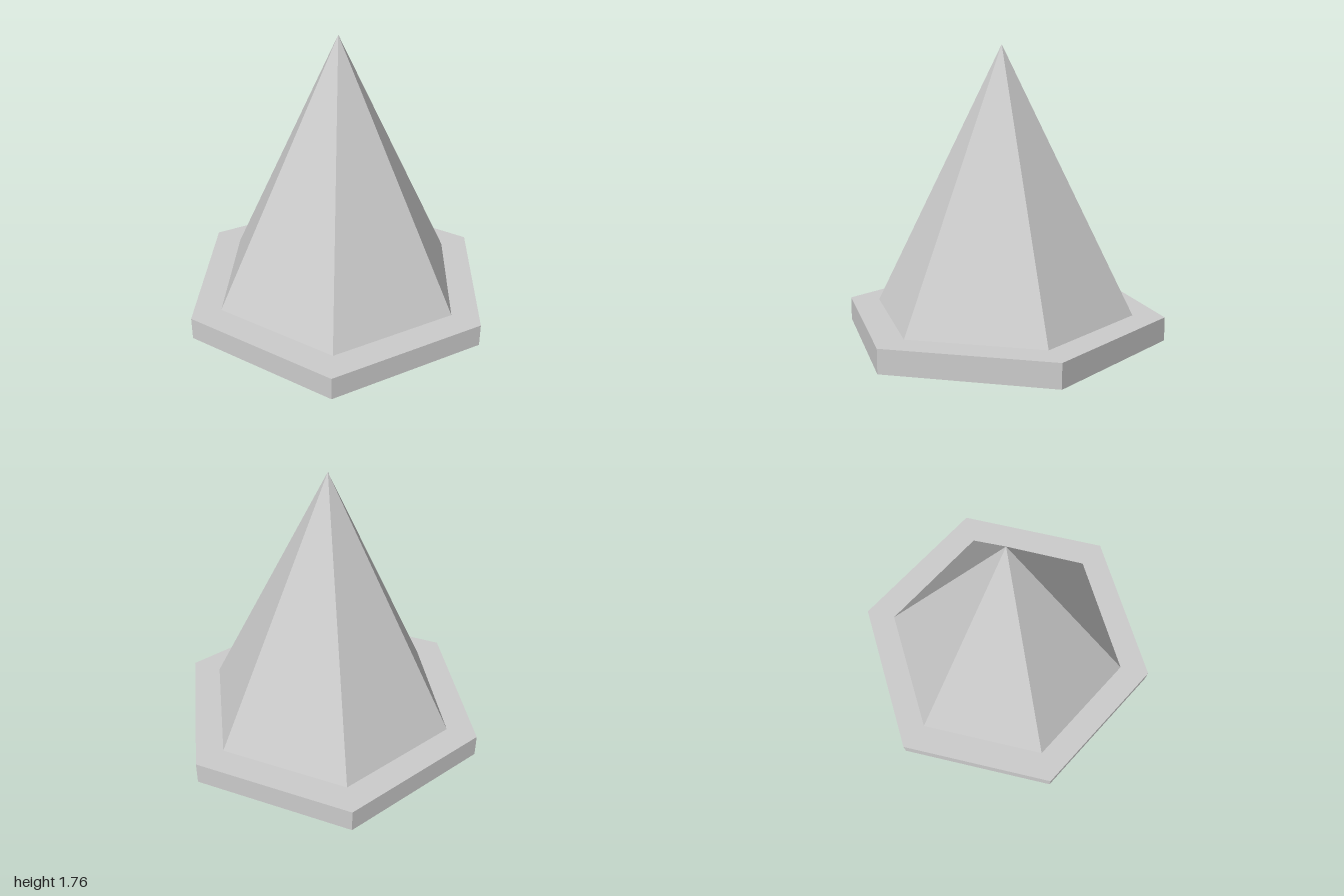
import * as THREE from 'three';

const SIDES = 6;
const BASE_HEIGHT = 0.144;
const SPIRE_HEIGHT = 1.617;

export function createModel() {
  const group = new THREE.Group();
  group.name = 'hexagonalSpire';

  const lightGrey = new THREE.MeshStandardMaterial({ color: 0xcccccc, flatShading: true });
  lightGrey.name = 'light grey';

  // Six-sided solid with corners on the x axis, standing on height y
  const addHexPart = (name, topRadius, bottomRadius, height, y) => {
    const geometry = new THREE.CylinderGeometry(
      topRadius, bottomRadius, height, SIDES, 1, false, Math.PI / SIDES
    );
    geometry.translate(0, y + height / 2, 0);
    const mesh = new THREE.Mesh(geometry, lightGrey);
    mesh.name = name;
    group.add(mesh);
  };

  // Flat plinth
  addHexPart('base', 1, 1, BASE_HEIGHT, 0);
  // Pointed pyramid on the plinth
  addHexPart('pyramid', 0, 0.808, SPIRE_HEIGHT, BASE_HEIGHT);

  return group;
}
